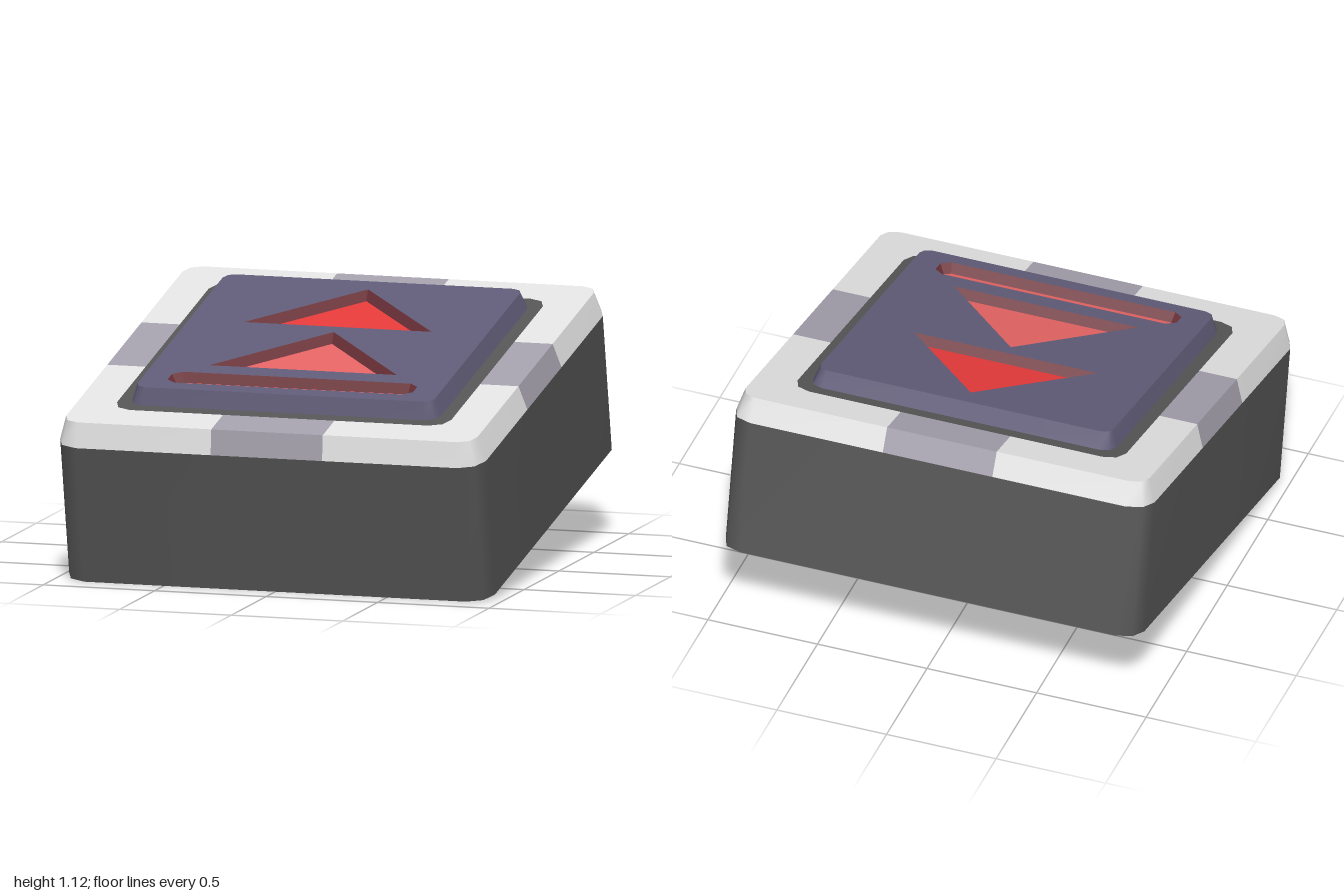
import * as THREE from 'three';

const mat = (name, color) =>
  new THREE.MeshStandardMaterial({ name, color, side: THREE.DoubleSide });

// Rounded square outline in [x, z]; each side carries two points at +-patch.
function roundSquare(half, r, patch = 0.25) {
  const pts = [];
  for (let s = 0; s < 4; s++) {
    const c = Math.cos(s * Math.PI / 2), n = Math.sin(s * Math.PI / 2);
    const side = [];
    for (let k = 0; k <= 2; k++) {
      const a = -Math.PI / 2 + k * Math.PI / 4;
      side.push([half - r + r * Math.cos(a), -half + r + r * Math.sin(a)]);
    }
    side.push([half, -patch], [half, patch]);
    for (const [x, z] of side) pts.push([x * c - z * n, x * n + z * c]);
  }
  return pts;
}

// Polygon moved inwards by e
function inset(pts, e) {
  const count = pts.length;
  const normal = (p, q) => {
    const dx = q[0] - p[0], dz = q[1] - p[1], l = Math.hypot(dx, dz);
    return [-dz / l, dx / l];
  };
  return pts.map((p, i) => {
    const a = normal(pts[(i + count - 1) % count], p);
    const b = normal(p, pts[(i + 1) % count]);
    const k = e / (1 + a[0] * b[0] + a[1] * b[1]);
    return [p[0] + (a[0] + b[0]) * k, p[1] + (a[1] + b[1]) * k];
  });
}

// Closed strip between two outlines at heights ya and yb
function band(name, a, ya, b, yb, material, flat = false) {
  const count = a.length, pos = [], index = [];
  for (const [x, z] of a) pos.push(x, ya, z);
  for (const [x, z] of b) pos.push(x, yb, z);
  let geo = new THREE.BufferGeometry();
  for (let i = 0; i < count; i++) {
    const j = (i + 1) % count;
    index.push(i, count + i, j, j, count + i, count + j);
    // every fifth segment is the painted middle of a side
    if (Array.isArray(material)) geo.addGroup(i * 6, 6, i % 5 === 3 ? 1 : 0);
  }
  geo.setAttribute('position', new THREE.Float32BufferAttribute(pos, 3));
  geo.setIndex(index);
  if (flat) geo = geo.toNonIndexed();
  geo.computeVertexNormals();
  const mesh = new THREE.Mesh(geo, material);
  mesh.name = name;
  return mesh;
}

// Level plate with optional holes
function plate(name, outline, y, material, holes = []) {
  const toVec = (pts) => pts.map(([x, z]) => new THREE.Vector2(x, -z));
  const shape = new THREE.Shape(toVec(outline));
  shape.holes = holes.map((h) => new THREE.Path(toVec(h)));
  const geo = new THREE.ShapeGeometry(shape);
  geo.rotateX(-Math.PI / 2);
  geo.translate(0, y, 0);
  const mesh = new THREE.Mesh(geo, material);
  mesh.name = name;
  return mesh;
}

export function createModel() {
  const dark = mat('darkGrey', 0x555555);
  const white = mat('offWhite', 0xe2e2e2);
  const lilac = mat('lilacGrey', 0xa39fab);
  const purple = mat('slatePurple', 0x605c78);
  const red = mat('brightRed', 0xe63a3a);
  const paleRed = mat('paleRed', 0xe56464);
  const maroon = mat('maroon', 0x6e3239);

  const tilt = new THREE.Group();
  tilt.name = 'tiltedButton';
  tilt.rotation.x = 0.2107;
  tilt.position.set(0, 0.2, -0.065);

  // Open-bottomed housing
  const wallTop = 0.614, deck = 0.72, panelTop = 0.795;
  const outer = roundSquare(0.955, 0.1);
  const rim = roundSquare(0.922, 0.07);
  const frame = roundSquare(0.75, 0.08);
  tilt.add(band('housingWalls', outer, 0, outer, wallTop, dark));

  // Trim with a painted patch in the middle of each side
  tilt.add(band('trimBevel', outer, wallTop, rim, deck, [white, lilac]));
  tilt.add(band('trimTop', rim, deck, frame, deck, [white, lilac], true));
  tilt.add(plate('panelSurround', frame, deck, dark));

  // Symbols cut into the panel
  const triangle = (z0, z1) => [[0, z0], [0.42, z1], [-0.42, z1]];
  const bar = [
    [-0.51, 0.469], [0.51, 0.469], [0.55, 0.502], [0.55, 0.564],
    [0.51, 0.597], [-0.51, 0.597], [-0.55, 0.564], [-0.55, 0.502],
  ];
  const symbols = [
    ['upperArrow', triangle(-0.574, -0.131), red],
    ['lowerArrow', triangle(-0.07, 0.379), paleRed],
    ['bar', bar, paleRed],
  ];

  // Raised panel
  const base = roundSquare(0.692, 0.06), top = roundSquare(0.667, 0.045);
  tilt.add(band('panelSides', base, deck, top, panelTop, purple));
  tilt.add(plate('panelTop', top, panelTop, purple, symbols.map((s) => s[1])));
  for (const [name, outline, colour] of symbols) {
    const floor = inset(outline, 0.022), y = panelTop - 0.042;
    tilt.add(band(name + 'Walls', outline, panelTop, floor, y, maroon, true));
    tilt.add(plate(name + 'Floor', floor, y, colour));
  }

  const model = new THREE.Group();
  model.name = 'arrowButton';
  model.add(tilt);
  return model;
}
